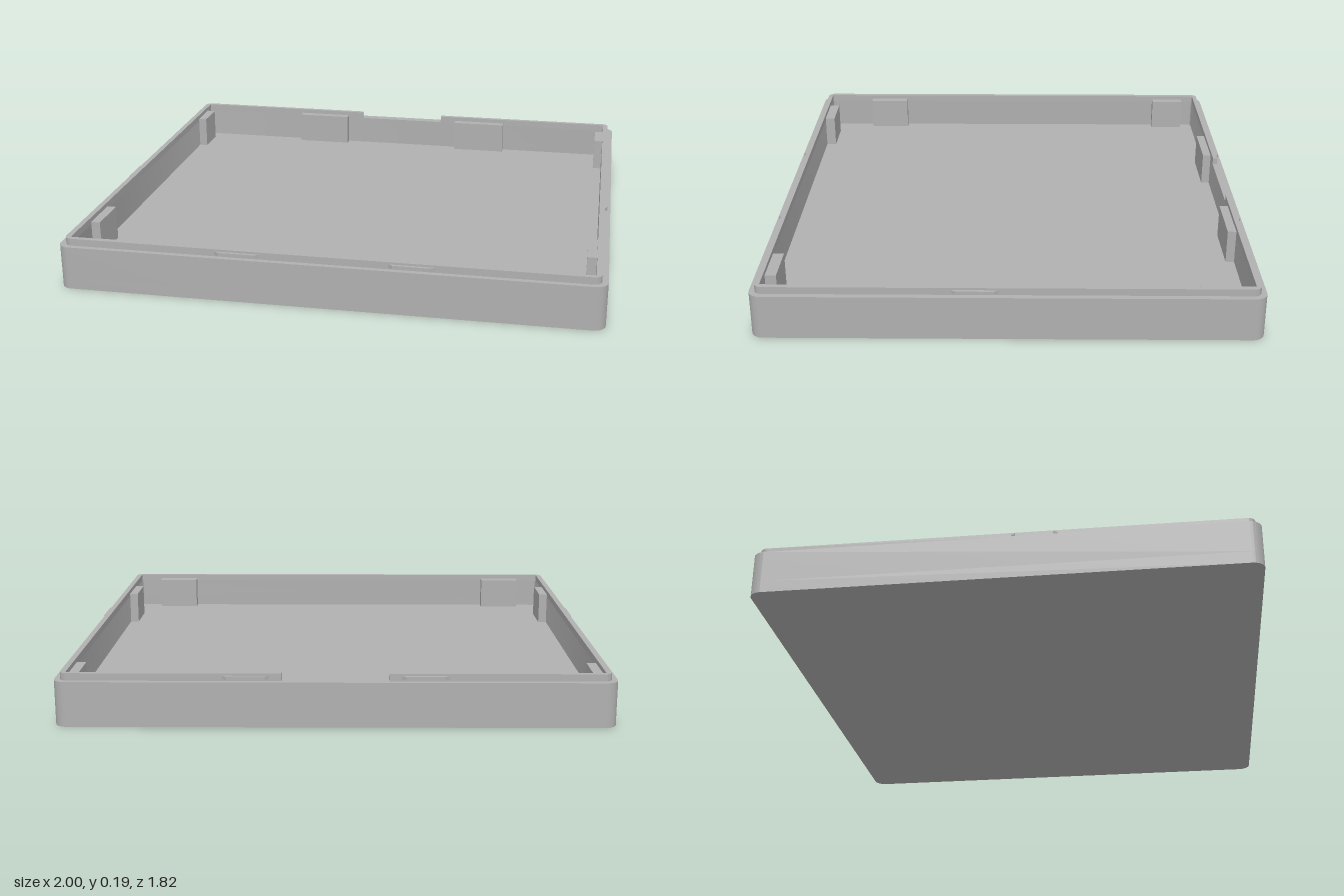
import * as THREE from 'three';
import { toCreasedNormals } from 'three/addons/utils/BufferGeometryUtils.js';

const FLOOR = 0.045, RIM = 0.165, TOP = 0.192;
const INNER_X = 0.957, INNER_Z = 0.873, LIP_X = 0.978, LIP_Z = 0.892;

// Rounded rectangle in plan, centred on the origin
function roundedRect(path, hx, hz, r) {
  path.moveTo(-hx + r, -hz);
  path.lineTo(hx - r, -hz);
  path.absarc(hx - r, -hz + r, r, -Math.PI / 2, 0);
  path.lineTo(hx, hz - r);
  path.absarc(hx - r, hz - r, r, 0, Math.PI / 2);
  path.lineTo(-hx + r, hz);
  path.absarc(-hx + r, hz - r, r, Math.PI / 2, Math.PI);
  path.lineTo(-hx, -hz + r);
  path.absarc(-hx + r, -hz + r, r, Math.PI, Math.PI * 1.5);
  return path;
}

// Plan shape raised from y0 to y1 (plan +y is the back)
function raise(shape, y0, y1) {
  const g = new THREE.ExtrudeGeometry(shape, { depth: y1 - y0, bevelEnabled: false, curveSegments: 10 });
  g.rotateX(-Math.PI / 2).translate(0, y0, 0);
  return toCreasedNormals(g, 0.6);
}

export function createModel() {
  const group = new THREE.Group();
  group.name = 'tray';
  const grey = new THREE.MeshStandardMaterial({ color: 0xb0b0b0 });
  grey.name = 'grey plastic';
  const add = (name, geometry) => {
    const mesh = new THREE.Mesh(geometry, grey);
    mesh.name = name;
    group.add(mesh);
    return mesh;
  };

  // Floor plate and outer walls
  add('floor', raise(roundedRect(new THREE.Shape(), 1, 0.912, 0.045), 0, FLOOR));
  const wall = roundedRect(new THREE.Shape(), 1, 0.912, 0.045);
  wall.holes.push(roundedRect(new THREE.Path(), INNER_X, INNER_Z, 0.012));
  add('walls', raise(wall, FLOOR, RIM));

  // Recessed lip, open in the middle of the back
  const gap = 0.19, r = 0.028;
  const lip = new THREE.Shape();
  lip.moveTo(-gap, LIP_Z);
  lip.lineTo(-LIP_X + r, LIP_Z);
  lip.absarc(-LIP_X + r, LIP_Z - r, r, Math.PI / 2, Math.PI);
  lip.lineTo(-LIP_X, -LIP_Z + r);
  lip.absarc(-LIP_X + r, -LIP_Z + r, r, Math.PI, Math.PI * 1.5);
  lip.lineTo(LIP_X - r, -LIP_Z);
  lip.absarc(LIP_X - r, -LIP_Z + r, r, -Math.PI / 2, 0);
  lip.lineTo(LIP_X, LIP_Z - r);
  lip.absarc(LIP_X - r, LIP_Z - r, r, 0, Math.PI / 2);
  lip.lineTo(gap, LIP_Z);
  lip.lineTo(gap, INNER_Z);
  lip.lineTo(INNER_X, INNER_Z);
  lip.lineTo(INNER_X, -INNER_Z);
  lip.lineTo(-INNER_X, -INNER_Z);
  lip.lineTo(-INNER_X, INNER_Z);
  lip.lineTo(-gap, INNER_Z);
  add('lip', raise(lip, RIM, TOP));

  // Snap ridges with tapered ends on the outside of the lip
  const ridge = new THREE.Shape([[-0.083, 0], [-0.068, -0.011], [0.068, -0.011], [0.083, 0]]
    .map(([x, y]) => new THREE.Vector2(x, y)));
  const ridgeGeometry = raise(ridge, 0.171, 0.184);
  const addRidge = (name, x, z, turn) => {
    const m = add(name, ridgeGeometry);
    m.position.set(x, 0, z);
    m.rotation.y = turn;
  };

  // Upright locating tabs standing against the inner walls
  const addTab = (name, x0, x1, z0, z1) => {
    const h = 0.175 - FLOOR;
    add(name, new THREE.BoxGeometry(x1 - x0, h, z1 - z0))
      .position.set((x0 + x1) / 2, FLOOR + h / 2, (z0 + z1) / 2);
  };

  for (const s of [-1, 1]) {
    const side = s > 0 ? 'left' : 'right';
    addRidge(side + 'FrontRidge', s * 0.318, LIP_Z, 0);
    addRidge(side + 'BackRidge', s * 0.318, -LIP_Z, Math.PI);
    addRidge(side + 'SideRidge', s * LIP_X, 0.115, s * Math.PI / 2);

    const span = (a, b) => (s > 0 ? [a, b] : [-b, -a]);
    addTab(side + 'BackTab', ...span(0.26, 0.49), -INNER_Z, -0.84);
    addTab(side + 'FrontTab', ...span(0.69, 0.86), 0.832, INNER_Z);
    addTab(side + 'RearSideTab', ...span(0.922, INNER_X), -0.82, -0.68);
    addTab(side + 'ForwardSideTab', ...span(0.922, INNER_X), 0.51, 0.68);
  }
  return group;
}
